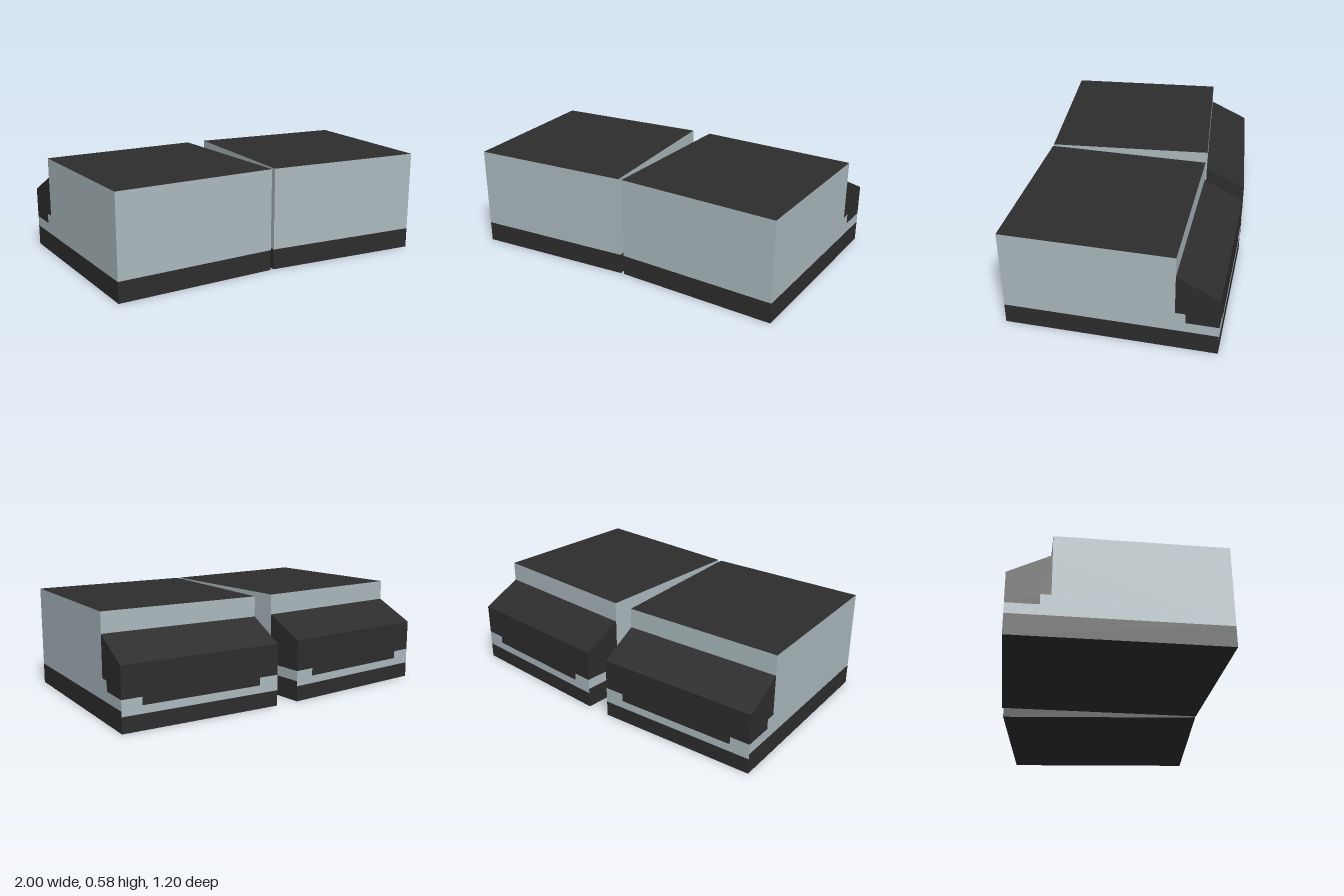
import * as THREE from 'three';

const grey = new THREE.MeshStandardMaterial({ color: 0xabb9be });
grey.name = 'pale grey wall';
const dark = new THREE.MeshStandardMaterial({ color: 0x2d2d2d });
dark.name = 'charcoal';

// Half width, half depth, heights and step position of one block
const W = 0.4655, D = 0.578, H = 0.58;
const BASE = 0.117, STEP = -0.348, SHOULDER = 0.465, EAVE = 0.35;
const BACK_BASE = 0.088, SKIRT = 0.132, NOTCH = 0.176, NOTCH_X = W - 0.115;
const LEDGE = -0.403, CHEEK = 0.234;

const rect = (a, b, c, d) => [[a, b], [c, b], [c, d], [a, d]];

// Flat panel from a 2D outline, facing +z before it is turned into place
function panel(name, material, points) {
  const shape = new THREE.Shape(points.map(([x, y]) => new THREE.Vector2(x, y)));
  const mesh = new THREE.Mesh(new THREE.ShapeGeometry(shape), material);
  mesh.name = name;
  return mesh;
}

// One wall: several panels sharing a plane
function wall(name, position, yaw, pitch, panels) {
  const group = new THREE.Group();
  group.name = name;
  group.position.set(...position);
  group.rotation.set(pitch, yaw, 0, 'YXZ');
  panels.forEach(p => group.add(panel(...p)));
  return group;
}

function createBlock(name) {
  const block = new THREE.Group();
  block.name = name;

  // Front, top, bottom
  block.add(wall('front', [0, 0, D], 0, 0, [
    ['frontBase', dark, rect(-W, 0, W, BASE)],
    ['frontWall', grey, rect(-W, BASE, W, H)],
  ]));
  block.add(wall('top', [0, H, 0], 0, -Math.PI / 2, [
    ['roof', dark, rect(-W, -D, W, -STEP)],
  ]));
  block.add(wall('bottom', [0, 0, 0], 0, Math.PI / 2, [
    ['underside', dark, rect(-W, -D, W, D)],
  ]));

  // Upper back wall and sloping rear hood
  block.add(wall('upperBack', [0, 0, STEP], Math.PI, 0, [
    ['upperBackWall', grey, rect(-W, SHOULDER, W, H)],
  ]));
  const run = STEP + D, rise = SHOULDER - EAVE;
  block.add(wall('hood', [0, EAVE, -D], Math.PI, -Math.atan2(run, rise), [
    ['hoodSlope', dark, rect(-W, 0, W, Math.hypot(run, rise))],
  ]));

  // Lower back: base, pale strip, and hood skirt notched at both ends
  const skirt = [[-W, NOTCH], [-NOTCH_X, NOTCH], [-NOTCH_X, SKIRT], [NOTCH_X, SKIRT], [NOTCH_X, NOTCH], [W, NOTCH]];
  block.add(wall('back', [0, 0, -D], Math.PI, 0, [
    ['backBase', dark, rect(-W, 0, W, BACK_BASE)],
    ['backStrip', grey, [[W, BACK_BASE], [-W, BACK_BASE], ...skirt]],
    ['hoodSkirt', dark, [...skirt, [W, EAVE], [-W, EAVE]]],
  ]));

  // Both sides, outlined as [z, y]
  const cheekEdge = [[-D, NOTCH], [LEDGE, NOTCH], [LEDGE, CHEEK], [STEP, CHEEK], [STEP, SHOULDER]];
  for (const s of [1, -1]) {
    const turn = pts => pts.map(([z, y]) => [-s * z, y]);
    block.add(wall(s > 0 ? 'leftSide' : 'rightSide', [s * W, 0, 0], s * Math.PI / 2, 0, [
      ['sideBase', dark, turn(rect(-D, 0, D, BASE))],
      ['sideWall', grey, turn([[D, BASE], [-D, BASE], ...cheekEdge, [STEP, H], [D, H]])],
      ['hoodCheek', dark, turn([...cheekEdge, [-D, EAVE]])],
    ]));
  }
  return block;
}

export function createModel() {
  const model = new THREE.Group();
  model.name = 'pairedBlocks';
  // Two blocks splayed apart towards the back
  for (const s of [1, -1]) {
    const block = createBlock(s > 0 ? 'leftBlock' : 'rightBlock');
    block.position.x = s * 0.505;
    block.rotation.y = -s * THREE.MathUtils.degToRad(3);
    model.add(block);
  }
  return model;
}
